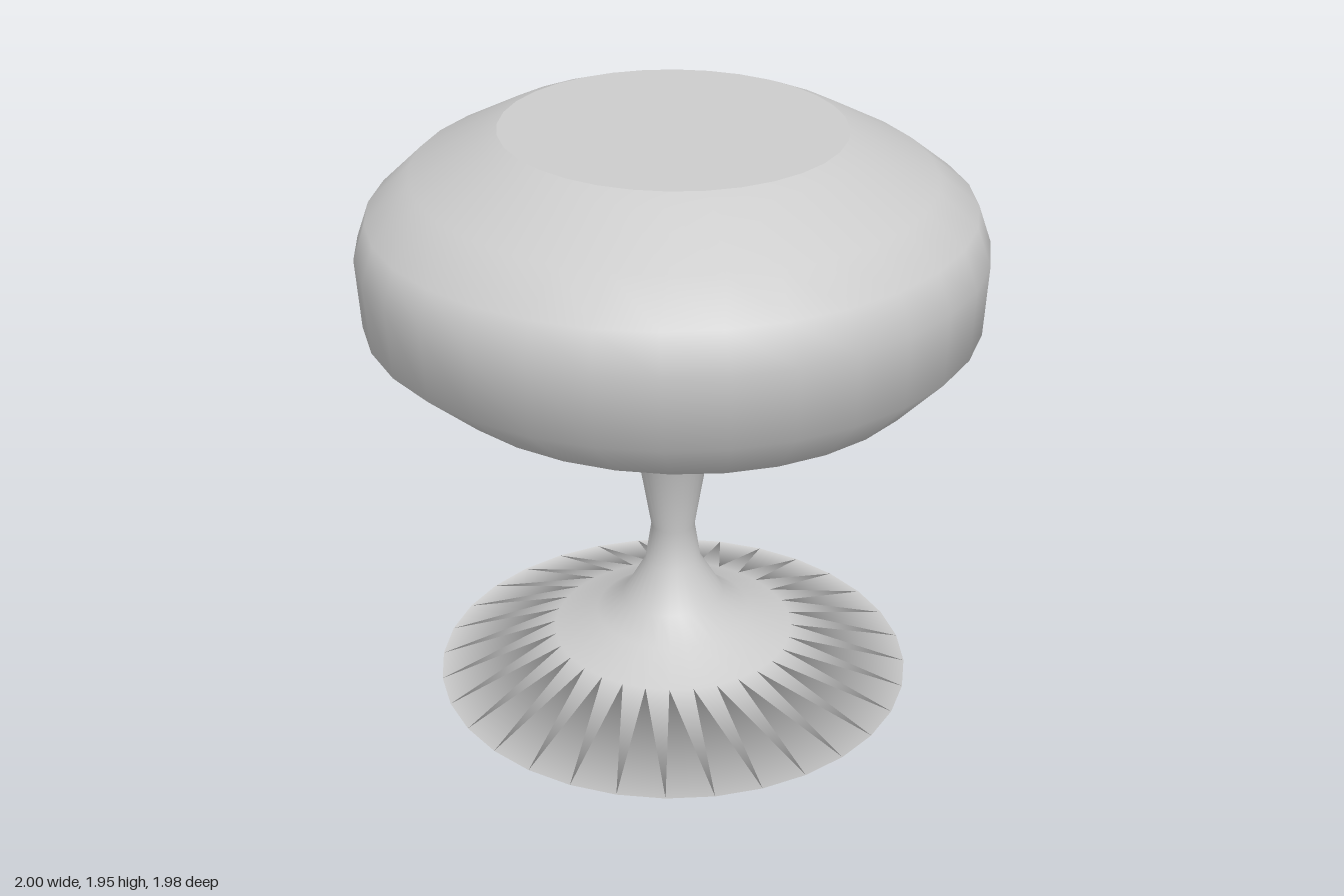
import * as THREE from 'three';

const SEGMENTS = 32;

// Revolved part; each ring is [x radius, y, z radius], listed from bottom to top.
// A ring listed twice keeps a sharp edge.
function turned(name, rings, material) {
  const profile = rings.map(([r, y]) => new THREE.Vector2(r, y));
  const geometry = new THREE.LatheGeometry(profile, SEGMENTS);
  const pos = geometry.attributes.position;
  for (let i = 0; i < pos.count; i++) {
    const [rx, , rz = rx] = rings[i % rings.length];
    if (rx > 0) pos.setZ(i, pos.getZ(i) * rz / rx);
  }
  const mesh = new THREE.Mesh(geometry, material);
  mesh.name = name;
  return mesh;
}

export function createModel() {
  const material = new THREE.MeshStandardMaterial({ color: 0xcccccc, side: THREE.DoubleSide });
  const group = new THREE.Group();
  group.name = 'pedestalStool';

  // Flared foot, slim waist and spreading neck under the cushion
  group.add(turned('pedestal', [
    [0, 0],
    [0.8, 0],
    [0.405, 0.14],
    [0.26, 0.205],
    [0.175, 0.27, 0.16],
    [0.095, 0.405, 0.09],
    [0.073, 0.54],
    [0.138, 0.91, 0.125],
    [0.26, 1.03],
    [0.45, 1.135, 0.457],
  ], material));

  // Rounded cushion with a flat top
  group.add(turned('cushion', [
    [0.45, 1.135, 0.457],
    [0.63, 1.135, 0.67],
    [0.807, 1.185, 0.845],
    [0.985, 1.34, 0.983],
    [1.0, 1.57, 0.99],
    [0.963, 1.69, 0.935],
    [0.815, 1.805, 0.84],
    [0.6, 1.92, 0.617],
    [0.54, 1.945, 0.55],
    [0.54, 1.945, 0.55],
    [0, 1.945],
  ], material));

  return group;
}
